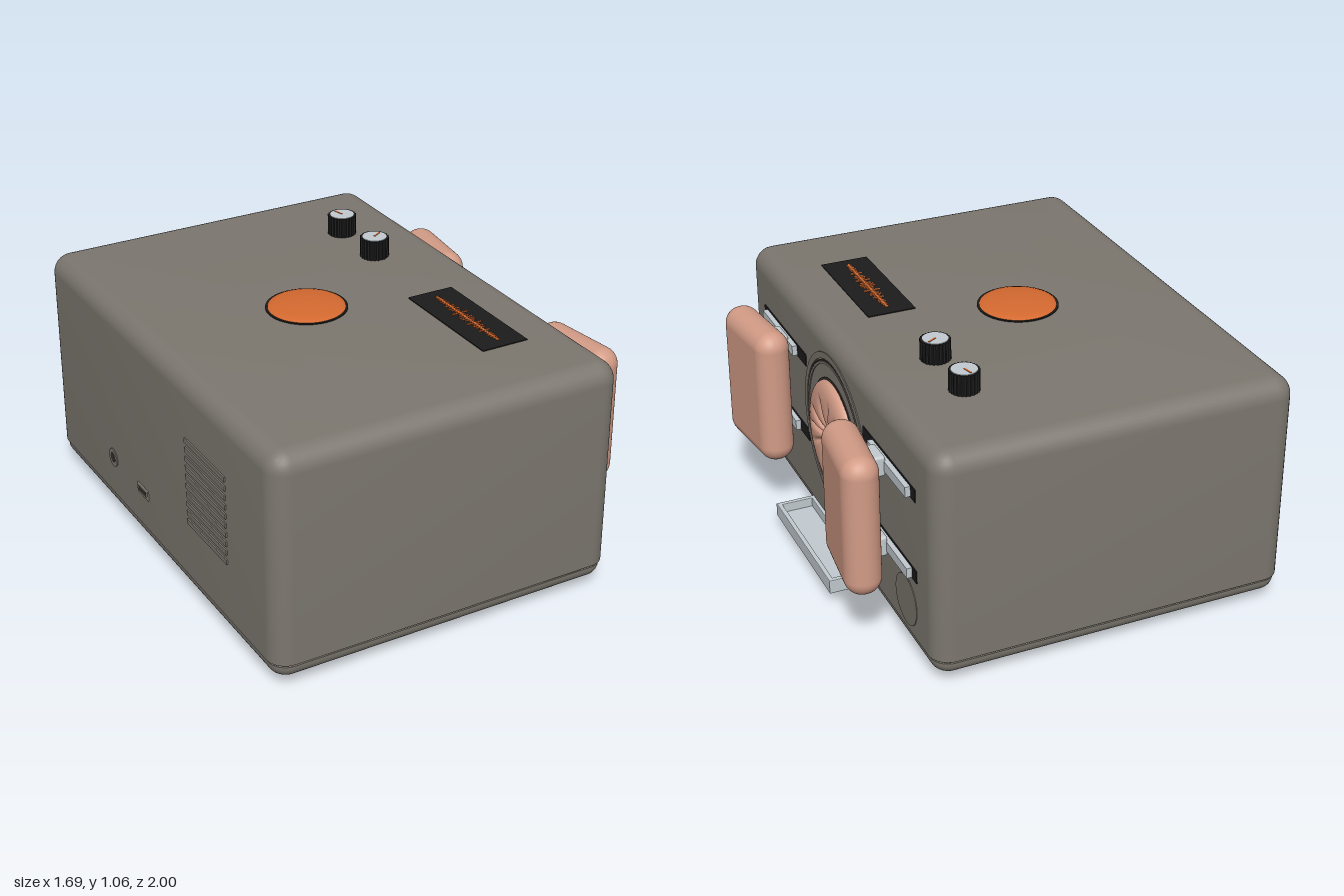
import * as THREE from 'three';
import { toCreasedNormals, mergeGeometries } from 'three/addons/utils/BufferGeometryUtils.js';
import { RoundedBoxGeometry } from 'three/addons/geometries/RoundedBoxGeometry.js';

const mat = (name, color, side = THREE.FrontSide) => {
  const m = new THREE.MeshStandardMaterial({ color, side });
  m.name = name;
  return m;
};

export function createModel() {
  const root = new THREE.Group();
  root.name = 'device';
  const grey = mat('warmGrey', 0x7c776f);
  const black = mat('black', 0x1c1c1c);
  const dark = mat('darkGrey', 0x34322f);
  const orange = mat('orange', 0xd66a30);
  const metal = mat('paleMetal', 0xc3cbd0);
  const skin = mat('softPink', 0xd29b86, THREE.DoubleSide);

  const add = (name, geo, material, x = 0, y = 0, z = 0, parent = root) => {
    const m = new THREE.Mesh(geo, material);
    m.name = name;
    m.position.set(x, y, z);
    parent.add(m);
    return m;
  };
  const box = (w, h, d) => new THREE.BoxGeometry(w, h, d);

  // Stacked rounded rectangles; each level is [inset, y]
  const CX = -0.117, HW = 0.732, HD = 1, R = 0.08, N = 8;
  function loft(levels) {
    const pos = [], idx = [], count = 4 * (N + 1);
    for (const [inset, y] of levels) {
      const r = Math.max(R - inset, 0.002);
      for (let c = 0; c < 4; c++) {
        const sx = c === 0 || c === 3 ? 1 : -1, sz = c < 2 ? -1 : 1;
        for (let k = 0; k <= N; k++) {
          const a = (c + k / N) * Math.PI / 2;
          pos.push(CX + sx * (HW - inset - r) + r * Math.cos(a), y,
            sz * (HD - inset - r) - r * Math.sin(a));
        }
      }
    }
    for (let i = 0; i < levels.length - 1; i++) for (let j = 0; j < count; j++) {
      const k = (j + 1) % count, a = i * count + j, b = i * count + k;
      idx.push(a, b, b + count, a, b + count, a + count);
    }
    const last = (levels.length - 1) * count, c0 = pos.length / 3;
    pos.push(CX, levels[0][1], 0, CX, levels[levels.length - 1][1], 0);
    for (let j = 0; j < count; j++) {
      const k = (j + 1) % count;
      idx.push(c0, k, j, c0 + 1, last + j, last + k);
    }
    const g = new THREE.BufferGeometry();
    g.setAttribute('position', new THREE.Float32BufferAttribute(pos, 3));
    g.setIndex(idx);
    return toCreasedNormals(g, 0.6);
  }

  // Housing, dark seam and base pan
  const topLevels = [[0, 0.112]], baseLevels = [];
  for (let i = 0; i <= 8; i++) {
    const a = i / 8 * Math.PI / 2, s = Math.sin(a), c = Math.cos(a);
    topLevels.push([0.078 * (1 - c), 0.897 + 0.078 * s]);
    baseLevels.push([0.008 + 0.05 * (1 - s), 0.095 - 0.05 * c]);
  }
  baseLevels.push([0.008, 0.1]);
  add('housing', loft(topLevels), grey);
  add('seam', loft([[0.016, 0.09], [0.016, 0.12]]), dark);
  add('basePan', loft(baseLevels), grey);

  // Feet
  for (const x of [-0.665, 0.43]) for (const z of [-0.83, 0.83])
    add('foot', new THREE.CylinderGeometry(0.06, 0.06, 0.06, 32), black, x, 0.03, z);

  // Domed push button in a dark rim
  add('buttonRim', new THREE.CylinderGeometry(0.162, 0.162, 0.006, 64), black, -0.17, 0.976, 0);
  const dome = [[0.154, 0], [0.153, 0.006], [0.13, 0.011], [0.09, 0.016], [0.045, 0.019], [0, 0.02]];
  add('button', new THREE.LatheGeometry(dome.map(p => new THREE.Vector2(...p)), 64),
    orange, -0.17, 0.976, 0);

  // Fluted knobs with pale caps and pointers
  const fluted = new THREE.Shape();
  for (let i = 0; i < 96; i++) {
    const a = i / 96 * Math.PI * 2, r = 0.058 + 0.002 * Math.cos(a * 24);
    fluted[i ? 'lineTo' : 'moveTo'](r * Math.cos(a), r * Math.sin(a));
  }
  for (const [z, turn] of [[-0.565, 1.8], [-0.295, 0.55]]) {
    const knob = new THREE.Group();
    knob.name = 'knob';
    knob.position.set(0.31, 0.97, z);
    knob.rotation.y = turn;
    root.add(knob);
    const body = new THREE.ExtrudeGeometry(fluted, { depth: 0.088, bevelEnabled: false });
    add('knobBody', body.rotateX(-Math.PI / 2), black, 0, 0, 0, knob);
    add('knobCap', new THREE.CylinderGeometry(0.05, 0.05, 0.004, 40), metal, 0, 0.088, 0, knob);
    add('knobPointer', box(0.042, 0.003, 0.007), orange, 0.021, 0.0905, 0, knob);
  }

  // Display with a bar waveform
  add('display', box(0.2, 0.006, 0.535), black, 0.315, 0.976, 0.398);
  const bars = [box(0.008, 0.003, 0.44)];
  for (let i = 0; i < 30; i++) {
    const t = i / 29;
    const w = 0.016 + 0.045 * Math.sin(Math.PI * t) * Math.abs(Math.sin(i * 1.3) + 0.35 * Math.cos(i * 2.9));
    bars.push(box(w, 0.003, 0.008).translate(0, 0, (t - 0.5) * 0.42));
  }
  add('waveform', mergeGeometries(bars), orange, 0.315, 0.98, 0.4);

  // Everything on the working side is turned to face +x
  const FACE = 0.615, MID = 0.55;
  const ring = (inner, outer, h) => new THREE.LatheGeometry(
    [[outer, -0.01], [outer, h], [inner, h], [inner, -0.01]].map(p => new THREE.Vector2(...p)), 80)
    .toNonIndexed().rotateZ(-Math.PI / 2);
  const flat = g => toCreasedNormals(g, 0.5);
  add('portSurround', flat(ring(0.318, 0.345, 0.004)), grey, FACE, MID, 0);
  add('portGroove', flat(ring(0.309, 0.314, 0.003)), dark, FACE, MID, 0);
  add('portInnerRing', flat(ring(0.297, 0.307, 0.004)), grey, FACE, MID, 0);
  add('portInnerGroove', flat(ring(0.232, 0.243, 0.003)), dark, FACE, MID, 0);

  // Soft puckered cushion: a lathed bulge with radial creases
  const profile = [];
  for (let i = 0; i <= 28; i++) {
    const a = i / 28 * Math.PI;
    profile.push(new THREE.Vector2(0.137 + 0.097 * Math.cos(a), 0.046 * Math.sin(a) ** 0.8));
  }
  const cushion = new THREE.LatheGeometry(profile, 176);
  const p = cushion.attributes.position;
  for (let i = 0; i < p.count; i++) {
    const x = p.getX(i), z = p.getZ(i), r = Math.hypot(x, z), a = Math.atan2(x, z);
    const s = THREE.MathUtils.clamp((0.19 - r) / 0.15, 0, 1);
    const crease = (1 - Math.abs(Math.sin(5.5 * a + 0.5 * Math.sin(3 * a)))) ** 2;
    const k = 1 + 0.25 * s * s * (crease - 0.4);
    p.setXYZ(i, x * k, Math.max(p.getY(i) - 0.035 * s * crease, 0.004), z * k);
  }
  cushion.computeVertexNormals();
  add('cushion', cushion.rotateZ(-Math.PI / 2), skin, FACE, MID, 0);
  add('cushionOpening', new THREE.CylinderGeometry(0.05, 0.05, 0.004, 40).rotateZ(Math.PI / 2),
    grey, FACE + 0.002, MID, 0);

  // Two sliding pads, each on a pair of rails
  for (const s of [-1, 1]) {
    const side = new THREE.Group();
    side.name = s > 0 ? 'frontPadSlide' : 'rearPadSlide';
    root.add(side);
    for (const y of [0.395, 0.74]) {
      add('railSlot', box(0.008, 0.052, 0.51), black, FACE, y, s * 0.573, side);
      add('rail', box(0.03, 0.042, 0.37), metal, FACE + 0.01, y, s * 0.603, side);
      add('carriage', new RoundedBoxGeometry(0.045, 0.085, 0.11, 3, 0.012), metal, 0.655, y, s * 0.535, side);
    }
    const pad = add('pad', new RoundedBoxGeometry(0.145, 0.58, 0.4, 6, 0.07), skin, 0.75, 0.565, s * 0.533, side);
    pad.rotation.y = s * 0.115;
  }

  // Drip tray: rim with an opening over a floor
  const rect = (C, w, d) => {
    const c = new C();
    c.moveTo(-w, -d); c.lineTo(w, -d); c.lineTo(w, d); c.lineTo(-w, d); c.closePath();
    return c;
  };
  const rim = rect(THREE.Shape, 0.08, 0.312);
  rim.holes.push(rect(THREE.Path, 0.068, 0.3));
  const rimGeo = new THREE.ExtrudeGeometry(rim, { depth: 0.052, bevelSize: 0.004, bevelThickness: 0.004, bevelSegments: 2 });
  add('trayRim', rimGeo.rotateX(-Math.PI / 2), metal, 0.692, 0.054, 0);
  add('trayFloor', box(0.15, 0.02, 0.62), metal, 0.692, 0.061, 0);

  // Flush round cover low on the working side
  add('roundCover', new THREE.CylinderGeometry(0.102, 0.102, 0.006, 48).rotateZ(Math.PI / 2),
    grey, FACE, 0.235, -0.72);

  // Vent louvres and sockets on the far side
  const BACK = -0.849;
  for (let i = 0; i < 10; i++)
    add('ventLouvre', box(0.012, 0.02, 0.33), grey, BACK, 0.365 + i * 0.039, 0.465);
  add('roundSocket', new THREE.CylinderGeometry(0.04, 0.04, 0.008, 32).rotateZ(Math.PI / 2),
    grey, BACK, 0.285, -0.41);
  add('roundSocketHole', new THREE.CylinderGeometry(0.022, 0.022, 0.01, 24).rotateZ(Math.PI / 2),
    dark, BACK, 0.285, -0.41);
  add('slotSocket', new RoundedBoxGeometry(0.01, 0.045, 0.1, 2, 0.004), grey, BACK, 0.275, -0.12);
  add('slotSocketHole', box(0.013, 0.018, 0.07), dark, BACK, 0.275, -0.12);

  return root;
}
